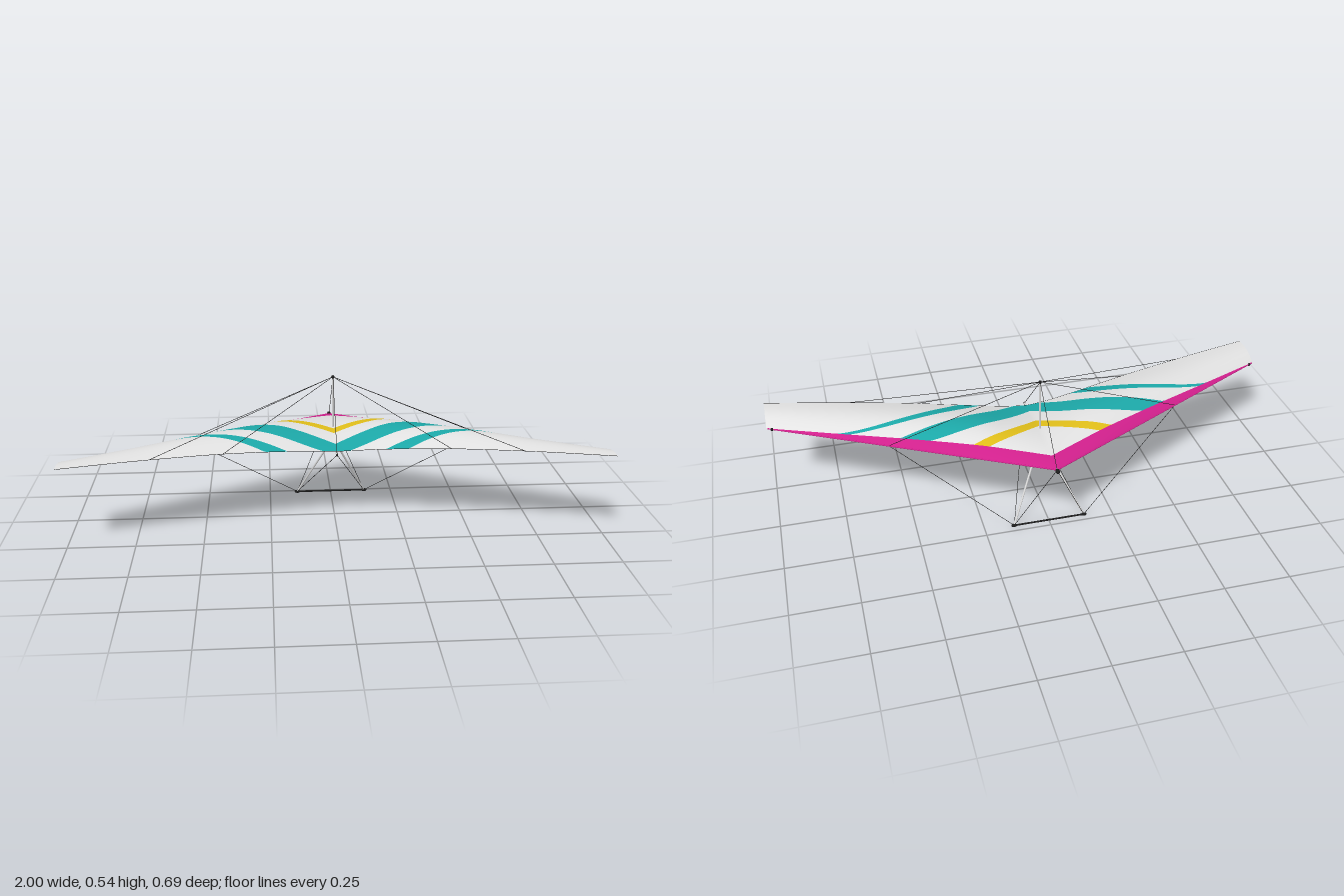
import * as THREE from 'three';

const mat = (name, color, side = THREE.FrontSide) => {
  const m = new THREE.MeshStandardMaterial({ color, side });
  m.name = name;
  return m;
};
const V = (x, y, z) => new THREE.Vector3(x, y, z);

// smooth lookup through a few points
const curve = (pts) => {
  const c = new THREE.SplineCurve(pts.map(([a, b]) => new THREE.Vector2(a, b)));
  const table = c.getPoints(80);
  return (t) => {
    let i = 1;
    while (i < table.length - 1 && table[i].x < t) i++;
    const a = table[i - 1], b = table[i];
    return a.y + (b.y - a.y) * Math.min(1, Math.max(0, (t - a.x) / (b.x - a.x)));
  };
};

// wing shape, t = distance from the centre line
const leadZ = (t) => -0.325 + 0.53 * t;
const leadY = (t) => 0.31 + 0.006 * t;
const trailZ = (t) => 0.128 + 0.24 * t - 0.025 * (1 - Math.exp(-t / 0.1));
const trailY = curve([[0, 0.309], [0.1, 0.315], [0.2, 0.323], [0.35, 0.333], [0.5, 0.34], [0.75, 0.345], [1, 0.345]]);
const camber = curve([[0, 0.027], [0.12, 0.036], [0.25, 0.043], [0.5, 0.036], [0.75, 0.022], [1, 0.013]]);

function topPoint(x, u) {
  const t = Math.abs(x);
  const y = leadY(t) + (trailY(t) - leadY(t)) * u + camber(t) * Math.sin(Math.PI * Math.pow(u, 0.85));
  return V(x, y, leadZ(t) + (trailZ(t) - leadZ(t)) * u);
}

// lower skin closing the front part of the wing
const skinEnd = (t) => 0.53 - 0.11 * t;
function skinPoint(x, s) {
  const t = Math.abs(x), p = topPoint(x, s * skinEnd(t));
  const rear = topPoint(x, skinEnd(t)).y - 0.002;
  const drop = 0.003 * (1 - t) + 0.031 * Math.exp(-t / 0.12);
  const bend = Math.pow(s, 3 - 1.6 * t);
  p.y = Math.min(p.y - 0.0005, leadY(t) + (rear - leadY(t)) * bend - drop * Math.sin(Math.PI * Math.pow(s, 0.82)));
  return p;
}
const liningPoint = (x, u) => topPoint(x, u).add(V(0, -0.002, 0));

// colour borders across the chord, as z positions
const borders = [
  (t) => -0.255 + 0.46 * t,
  (t) => -0.065 - 0.6 * t + 0.75 * t * t,
  (t) => -0.02 - 0.6 * t + 0.65 * t * t,
  (t) => 0.07 - 0.7 * t + 0.9 * t * t,
  (t) => 0.16 - 0.6 * t + 0.5 * t * t,
  (t) => 0.05 + 0.75 * (t - 0.55) ** 2,
  (t) => 0.068 + 0.9 * (t - 0.6) ** 2,
];
function borderList(t) {
  const list = [0];
  for (const b of borders) {
    const u = (b(t) - leadZ(t)) / (trailZ(t) - leadZ(t));
    list.push(Math.min(1, Math.max(list[list.length - 1], u)));
  }
  return [...list, 1];
}

// grid surface between two chord limits, with normals taken from the surface rule
function surface(point, limits, cols, up) {
  const rows = 160, pos = [], nor = [], idx = [], e = 0.002;
  for (let i = 0; i <= rows; i++) {
    const x = -1 + (2 * i) / rows;
    const [u0, u1] = limits(Math.abs(x));
    for (let j = 0; j <= cols; j++) {
      const u = u0 + ((u1 - u0) * j) / cols;
      const du = point(x, Math.min(1, u + e)).sub(point(x, Math.max(0, u - e)));
      const dx = point(Math.min(1, x + e), u).sub(point(Math.max(-1, x - e), u));
      const n = du.cross(dx).normalize().multiplyScalar(up);
      pos.push(...point(x, u).toArray());
      nor.push(...n.toArray());
      if (i < rows && j < cols) {
        const a = i * (cols + 1) + j, b = a + cols + 1;
        if (up > 0) idx.push(a, a + 1, b, b, a + 1, b + 1);
        else idx.push(a, b, a + 1, b, b + 1, a + 1);
      }
    }
  }
  const g = new THREE.BufferGeometry();
  g.setAttribute('position', new THREE.Float32BufferAttribute(pos, 3));
  g.setAttribute('normal', new THREE.Float32BufferAttribute(nor, 3));
  g.setIndex(idx);
  return g;
}

export function createModel() {
  const group = new THREE.Group();
  group.name = 'hangGlider';
  const white = mat('sailWhite', 0xe2e2e2, THREE.DoubleSide);
  const magenta = mat('magenta', 0xd0208c, THREE.DoubleSide);
  const teal = mat('teal', 0x1ca8a8, THREE.DoubleSide);
  const yellow = mat('yellow', 0xe0be1a, THREE.DoubleSide);
  const metal = mat('metal', 0xd8d8d8);
  const black = mat('black', 0x1c1c1c);
  const maroon = mat('strapMaroon', 0x7a1c2c);

  const add = (name, geo, material) => {
    const m = new THREE.Mesh(geo, material);
    m.name = name;
    group.add(m);
    return m;
  };
  const rod = (name, a, b, r, material, sides = 10) => {
    const m = add(name, new THREE.CylinderGeometry(r, r, a.distanceTo(b), sides), material);
    m.position.copy(a).lerp(b, 0.5);
    m.quaternion.setFromUnitVectors(V(0, 1, 0), b.clone().sub(a).normalize());
  };
  const ball = (name, p, r, sx = 1, sz = 1) => {
    const m = add(name, new THREE.SphereGeometry(r, 14, 10), black);
    m.position.copy(p);
    m.scale.set(sx, 1, sz);
  };

  // sail: one strip per colour band, front to back
  const bands = [magenta, white, yellow, white, teal, white, teal, white];
  bands.forEach((m, k) => {
    const limits = (t) => borderList(t).slice(k, k + 2);
    add('sailBand' + (k + 1), surface(topPoint, limits, 8, 1), m);
  });
  add('lowerSkin', surface(skinPoint, () => [0, 1], 16, -1), magenta);

  // plain lining under the yellow chevron
  const liningLimits = (t) => [skinEnd(t), Math.max(skinEnd(t), borderList(t)[4])];
  add('lowerLining', surface(liningPoint, liningLimits, 6, -1), white);

  // upright cloth panel facing sideways, outline as [z, y]
  const fin = (name, outline, material, x = 0) => {
    const shape = new THREE.Shape(outline.map(([z, y]) => new THREE.Vector2(-z, y)));
    const m = add(name, new THREE.ShapeGeometry(shape), material);
    m.rotation.y = Math.PI / 2;
    m.position.x = x;
  };
  // keel pocket under the centre line
  fin('keelPocketRear', [[0.146, 0.303], [0.13, 0.291], [0.11, 0.286], [0.08, 0.286], [0.052, 0.289], [0.052, 0.306]], teal);
  fin('keelPocketMiddle', [[0.052, 0.306], [0.052, 0.289], [0, 0.296], [-0.07, 0.301], [-0.07, 0.306]], white);
  fin('keelPocketFront', [[-0.2, 0.3], [-0.23, 0.281], [-0.26, 0.278], [-0.29, 0.284], [-0.315, 0.306]], magenta);

  // wing tips closed between the upper sail and the lower skin
  const tipOutline = [];
  for (let i = 0; i <= 12; i++) tipOutline.push(topPoint(1, (i / 12) * skinEnd(1)));
  for (let i = 12; i > 0; i--) tipOutline.push(skinPoint(1, i / 12));
  for (const s of [-1, 1]) fin('tipPanel', tipOutline.map((p) => [p.z, p.y]), white, s);

  // frame
  const nose = V(0, 0.309, -0.325), keelEnd = V(0, 0.304, 0.155);
  const postFoot = V(0, 0.305, -0.083), postTop = V(0, 0.538, -0.083);
  const apex = V(0, 0.288, -0.083);
  rod('keel', nose, keelEnd, 0.004, metal);
  ball('keelCap', keelEnd, 0.0042);
  ball('noseCap', V(0, 0.309, -0.332), 0.008, 1, 1.5);
  rod('kingpost', postFoot, postTop, 0.0038, metal);
  ball('kingpostCap', postTop, 0.0065);
  rod('hangStrap', V(0, 0.312, -0.083), V(0, 0.292, -0.083), 0.004, maroon);
  rod('frameBracket', V(0, 0.293, -0.083), V(0, 0.282, -0.083), 0.0045, black);

  // trailing edge cord
  const cord = [];
  for (let i = 0; i <= 40; i++) cord.push(topPoint(-1 + i / 20, 1));
  add('trailingCord', new THREE.TubeGeometry(new THREE.CatmullRomCurve3(cord), 120, 0.0009, 5), black);

  const corners = [-1, 1].map((s) => V(s * 0.138, 0.0065, -0.226));
  rod('baseBar', corners[0], corners[1], 0.0035, black);

  [-1, 1].forEach((s, i) => {
    const side = s > 0 ? 'left' : 'right';
    const corner = corners[i];
    // cloth sleeve around the leading edge, with the dark tube end at the tip
    rod(side + 'LeadingSleeve', topPoint(0, 0), topPoint(s * 0.995, 0), 0.0025, magenta);
    ball(side + 'TipCap', V(s * 0.98, 0.315, leadZ(0.98)), 0.006);
    rod(side + 'Upright', apex, corner, 0.0038, metal);
    ball(side + 'Corner', corner, 0.0065, 1.8);

    // rigging wires
    const sideAnchor = V(s * 0.565, 0.314, leadZ(0.565));
    const wires = [
      [postTop, topPoint(s * 0.68, 1)],
      [postTop, topPoint(s * 0.42, 1)],
      [postTop, sideAnchor],
      [corner, sideAnchor],
      [corner, nose],
      [corner, keelEnd],
    ];
    for (const [a, b] of wires) rod(side + 'Wire', a, b, 0.001, black, 5);
  });
  rod('noseWire', postTop, nose, 0.001, black, 5);
  rod('keelWire', postTop, keelEnd, 0.001, black, 5);
  return group;
}
